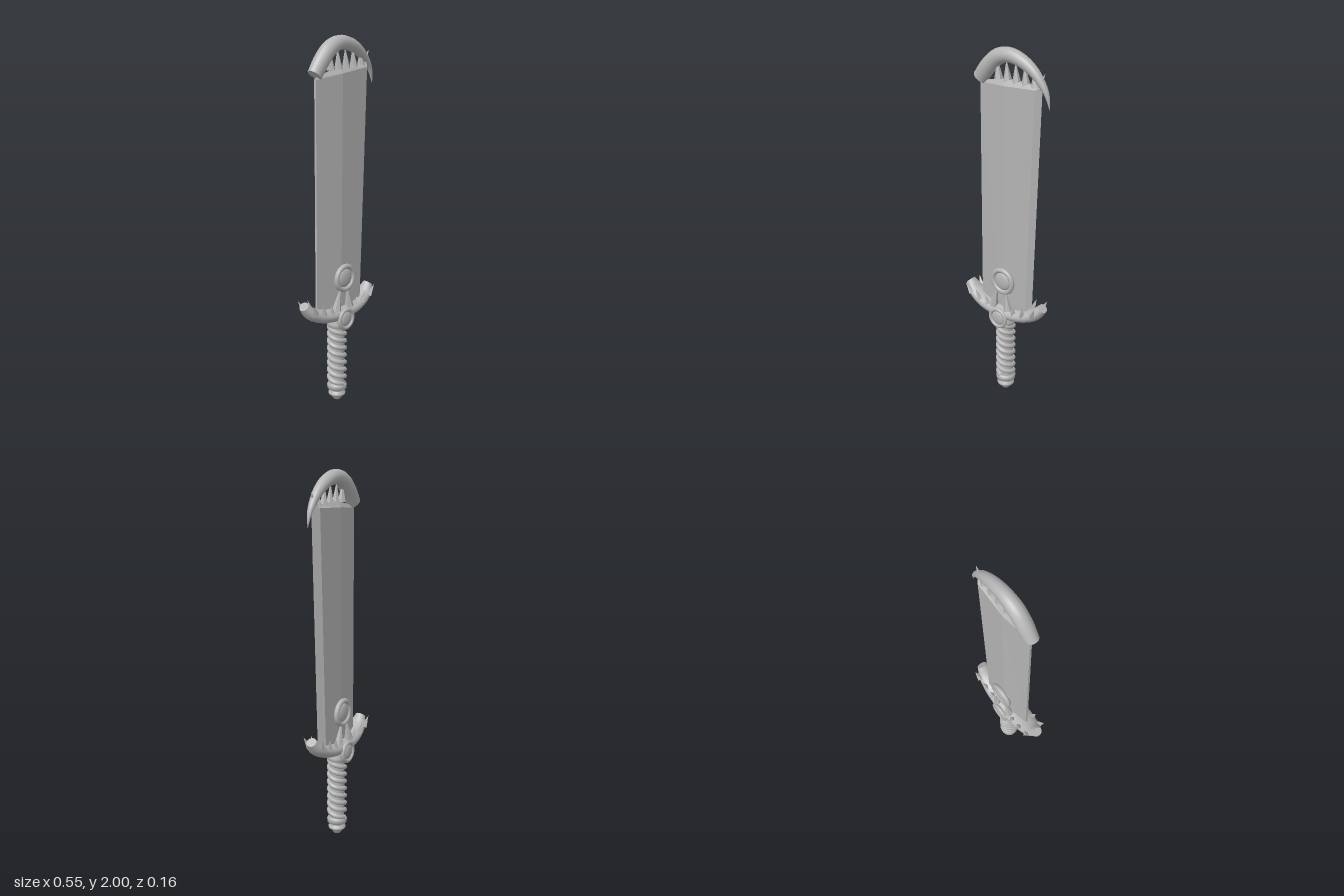
import * as THREE from 'three';

const steel = new THREE.MeshStandardMaterial({ color: 0xb4b4b4 });
steel.name = 'steel grey';

const V = (x, y, z = 0) => new THREE.Vector3(x, y, z);

function add(parent, name, geometry) {
  const mesh = new THREE.Mesh(geometry, steel);
  mesh.name = name;
  parent.add(mesh);
  return mesh;
}

function fromArrays(pos, idx) {
  const g = new THREE.BufferGeometry();
  g.setAttribute('position', new THREE.Float32BufferAttribute(pos, 3));
  g.setIndex(idx);
  return g;
}

function flat(g) {
  const f = g.index ? g.toNonIndexed() : g;
  f.computeVertexNormals();
  return f;
}

// Elliptical sweep in the xy plane; stations are [x, y, radius, z radius]
function sweep(stations, segs = 32, sides = 16) {
  const path = new THREE.CatmullRomCurve3(stations.map(s => V(s[0], s[1])));
  const radii = new THREE.CatmullRomCurve3(stations.map(s => V(s[2], s[3])));
  const pos = [], idx = [];
  const ring = (t) => {
    const c = path.getPoint(t), d = path.getTangent(t), r = radii.getPoint(t);
    for (let j = 0; j < sides; j++) {
      const a = j / sides * Math.PI * 2, n = Math.cos(a) * r.x;
      pos.push(c.x - d.y * n, c.y + d.x * n, Math.sin(a) * r.y);
    }
  };
  for (let i = 0; i <= segs; i++) ring(i / segs);
  for (let i = 0; i < segs; i++) for (let j = 0; j < sides; j++) {
    const k = (j + 1) % sides, a = i * sides + j, b = i * sides + k;
    idx.push(a, b, a + sides, b, b + sides, a + sides);
  }
  // Flat end caps with their own vertices
  for (const t of [0, 1]) {
    const s = pos.length / 3;
    ring(t);
    for (let j = 1; j < sides - 1; j++)
      t ? idx.push(s, s + j, s + j + 1) : idx.push(s, s + j + 1, s + j);
  }
  const g = fromArrays(pos, idx);
  g.computeVertexNormals();
  return g;
}

// Faceted cone from a base point to a tip
function spike(parent, name, base, tip, radius, sides = 4) {
  const d = tip.clone().sub(base);
  const m = add(parent, name, flat(new THREE.ConeGeometry(radius, d.length(), sides)));
  m.position.copy(base).addScaledVector(d, 0.5);
  m.quaternion.setFromUnitVectors(V(0, 1), d.normalize());
}

// Blade: thin back, central ridge and a grooved cutting edge
function bladeGeometry() {
  // bottom x, top x, half thickness, face top y, crest y
  const half = [
    [-0.16, -0.16, 0.006, 1.79, 1.8],
    [0.0, 0.01, 0.032, 1.81, 1.84],
    [0.152, 0.2, 0.026, 1.825, 1.84],
    [0.168, 0.217, 0.014, 1.835, 1.845],
  ];
  const groove = [0.15, 0.198, 0, 1.83, 1.84];
  const back = half.map(p => [p[0], p[1], -p[2], p[3], p[4]]).reverse();
  const ring = [...half, groove, ...back], n = ring.length;
  const pos = [], idx = [];
  for (const p of ring) pos.push(p[0], 0.52, p[2]);
  for (const p of ring) pos.push(p[1], p[3], p[2]);
  for (const p of ring) pos.push(p[1], p[4], p[2] * 0.35);
  for (let l = 0; l < 2; l++) for (let k = 0; k < n; k++) {
    const a = l * n + k, b = l * n + (k + 1) % n;
    idx.push(a, b, a + n, b, b + n, a + n);
  }
  for (let k = 5; k < n + 3; k++) {
    const a = k % n, b = (k + 1) % n;
    idx.push(2 * n + 4, 2 * n + a, 2 * n + b, 4, b, a);
  }
  return flat(fromArrays(pos, idx));
}

// Round medallion: rim ring with a domed stone, facing +z or -z
function medallion(parent, name, x, y, z, radius, side) {
  const g = new THREE.Group();
  g.name = name;
  const tube = radius * 0.18;
  add(g, 'rim', new THREE.TorusGeometry(radius - tube, tube, 10, 28));
  const disc = add(g, 'backing', new THREE.CylinderGeometry(radius - tube, radius - tube, 0.02, 28));
  disc.rotation.x = Math.PI / 2;
  disc.position.z = -0.008;
  const dome = add(g, 'stone', new THREE.SphereGeometry(radius * 0.66, 24, 8, 0, Math.PI * 2, 0, Math.PI / 2));
  dome.rotation.x = Math.PI / 2;
  dome.scale.y = 0.32;
  g.position.set(x, y, z * side);
  if (side < 0) g.rotation.y = Math.PI;
  parent.add(g);
}

export function createModel() {
  const model = new THREE.Group();
  model.name = 'sword';

  add(model, 'blade', bladeGeometry());

  // Curved horn over the blade tip
  add(model, 'tipHook', sweep([
    [-0.163, 1.815, 0.041, 0.036], [-0.105, 1.89, 0.043, 0.042], [-0.05, 1.94, 0.042, 0.042],
    [0.02, 1.962, 0.038, 0.038], [0.105, 1.945, 0.034, 0.034], [0.18, 1.9, 0.027, 0.027],
    [0.238, 1.836, 0.016, 0.018], [0.26, 1.79, 0.01, 0.011], [0.272, 1.735, 0.001, 0.001],
  ], 40));

  // Teeth between blade and horn
  for (let i = 0; i < 5; i++) {
    const x = -0.045 + i * 0.057;
    spike(model, 'tipTooth', V(x, 1.83), V(x - 0.008, 1.935 - (i === 4 ? 0.02 : 0)), 0.023, 6);
  }
  spike(model, 'tipTooth', V(0.205, 1.83), V(0.243, 1.912), 0.018, 6);

  // Crescent guard
  const arm = [[0.254, 0.618, 0.026, 0.028], [0.205, 0.565, 0.034, 0.052], [0.12, 0.53, 0.039, 0.066]];
  add(model, 'guard', sweep([
    ...arm.map(([x, ...r]) => [-x, ...r]), [0, 0.52, 0.043, 0.072], ...arm.slice().reverse(),
  ], 36, 18));

  for (const s of [1, -1]) {
    for (const m of [1, -1]) {
      // Guard spikes
      spike(model, 'guardSpike', V(m * 0.21, 0.57, s * 0.045), V(m * 0.24, 0.63, s * 0.058), 0.019);
      spike(model, 'guardSpike', V(m * 0.148, 0.55, s * 0.048), V(m * 0.166, 0.615, s * 0.06), 0.018);
      spike(model, 'guardSpike', V(m * 0.088, 0.54, s * 0.048), V(m * 0.102, 0.6, s * 0.056), 0.018);
      // Tall claws gripping the upper medallion
      spike(model, 'medallionClaw', V(m * 0.05, 0.55, s * 0.042), V(m * 0.026 + 0.004, 0.675, s * 0.046), 0.026, 6);
    }
    medallion(model, 'bladeMedallion', 0.014, 0.72, 0.045, 0.078, s);
    medallion(model, 'guardMedallion', 0, 0.495, 0.068, 0.062, s);
  }

  // Grip core with collar and pommel
  const profile = [
    [0, 0], [0.018, 0.004], [0.028, 0.018], [0.03, 0.026], [0.046, 0.034], [0.048, 0.044],
    [0.036, 0.056], [0.036, 0.062], [0.053, 0.07], [0.055, 0.09], [0.05, 0.1], [0.04, 0.105],
    [0.041, 0.43], [0.052, 0.44], [0.054, 0.46], [0.044, 0.475], [0.044, 0.52],
  ].map(p => new THREE.Vector2(...p));
  add(model, 'grip', new THREE.LatheGeometry(profile, 24));

  // Cord wound around the grip in two strands
  for (const phase of [0, Math.PI]) {
    const pts = [];
    for (let i = 0; i <= 64; i++) {
      const t = i / 64, a = phase + t * Math.PI * 8;
      pts.push(V(Math.sin(a) * 0.043, 0.445 - t * 0.34, Math.cos(a) * 0.043));
    }
    add(model, 'gripCord', new THREE.TubeGeometry(new THREE.CatmullRomCurve3(pts), 160, 0.013, 8));
  }

  return model;
}
